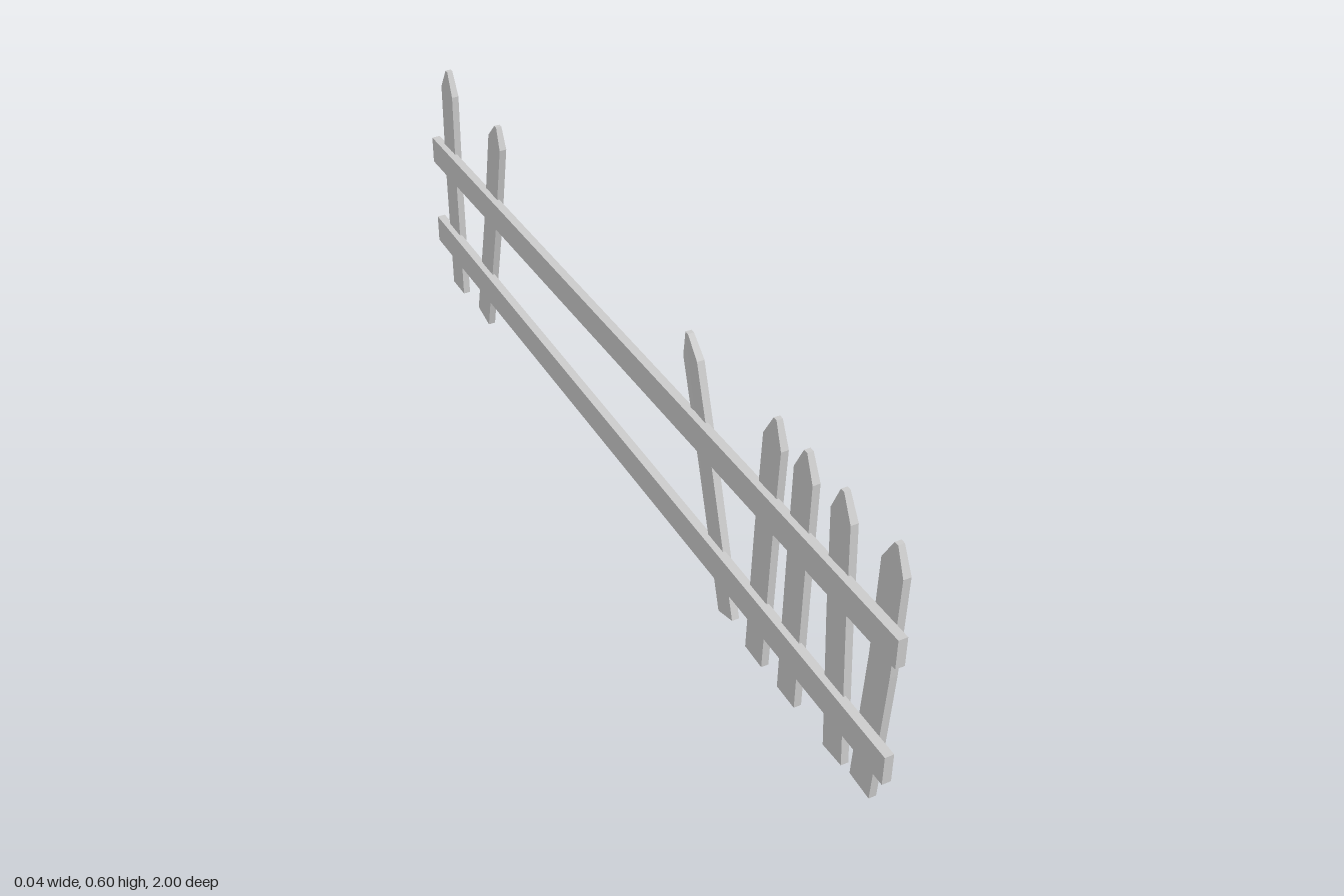
import * as THREE from 'three';

const material = new THREE.MeshStandardMaterial({ color: 0xcccccc, flatShading: true });
const THICK = 0.016;

// Extrudes an outline of [z, y] points along x, from x0 to x0 + depth
function board(name, outline, x0, depth) {
  const shape = new THREE.Shape(outline.map(([z, y]) => new THREE.Vector2(-z, y)));
  const geometry = new THREE.ExtrudeGeometry(shape, { depth, bevelEnabled: false });
  geometry.rotateY(Math.PI / 2).translate(x0, 0, 0);
  const mesh = new THREE.Mesh(geometry, material);
  mesh.name = name;
  return mesh;
}

// z of a picket's centre line at height y
function centreAt(line, y) {
  const i = y < line[1][1] ? 0 : 1;
  const [a, b] = [line[i], line[i + 1]];
  return a[0] + (b[0] - a[0]) * (y - a[1]) / (b[1] - a[1]);
}

// Bent plank with a pointed top: line = foot, bend, shoulder, tip
function picket({ line, width, x }) {
  const plus = [], minus = [];
  for (let i = 0; i < 3; i++) {
    const a = line[Math.max(i - 1, 0)], b = line[Math.min(i + 1, 2)];
    const len = Math.hypot(b[0] - a[0], b[1] - a[1]);
    const nz = (b[1] - a[1]) / len * width / 2, ny = -(b[0] - a[0]) / len * width / 2;
    plus.push([line[i][0] + nz, line[i][1] + ny]);
    minus.push([line[i][0] - nz, line[i][1] - ny]);
  }
  const [tz, ty] = line[3];
  const tip = [[tz + 0.005, ty - 0.002], [tz - 0.005, ty - 0.002]];
  const mesh = board('picket', [...plus, ...tip, ...minus.reverse()], x, THICK);

  // Thin the tip slightly
  const p = mesh.geometry.attributes.position;
  const mid = x + THICK / 2;
  for (let i = 0; i < p.count; i++) {
    if (p.getY(i) > ty - 0.004) p.setX(i, mid + (p.getX(i) - mid) * 0.8);
  }
  mesh.geometry.computeVertexNormals();
  return mesh;
}

export function createModel() {
  const fence = new THREE.Group();
  fence.name = 'brokenPicketFence';

  // Two long rails, the upper one sagging towards the back
  fence.add(board('upperRail', [[1, 0.38], [1, 0.445], [-1, 0.39], [-1, 0.325]], -0.02, 0.019));
  fence.add(board('lowerRail', [[1, 0.103], [1, 0.17], [-1, 0.17], [-1, 0.103]], -0.02, 0.019));

  // Pickets, each a crooked centre line in [z, y]
  const pickets = [
    { line: [[0.911, 0.003], [0.932, 0.32], [0.938, 0.545], [0.94, 0.6]], width: 0.064, x: -0.001 },
    { line: [[0.827, 0.004], [0.803, 0.32], [0.79, 0.545], [0.787, 0.6]], width: 0.062, x: -0.006 },
    { line: [[0.662, 0.003], [0.666, 0.32], [0.67, 0.545], [0.67, 0.6]], width: 0.062, x: -0.006 },
    { line: [[0.541, 0.003], [0.553, 0.32], [0.565, 0.545], [0.568, 0.6]], width: 0.062, x: -0.006 },
    { line: [[0.43, 0.018], [0.335, 0.32], [0.264, 0.535], [0.246, 0.584]], width: 0.056, x: -0.006 },
    { line: [[-0.765, 0.012], [-0.692, 0.32], [-0.648, 0.545], [-0.641, 0.59]], width: 0.062, x: -0.006 },
    { line: [[-0.921, 0.003], [-0.926, 0.3], [-0.921, 0.545], [-0.919, 0.6]], width: 0.064, x: -0.006 },
  ];

  // Nail heads where each picket crosses the rails
  const nailGeometry = new THREE.CylinderGeometry(0.004, 0.007, 0.006, 6).rotateZ(-Math.PI / 2);
  for (const spec of pickets) {
    fence.add(picket(spec));
    const upper = 0.385 + 0.0275 * spec.line[0][0];
    for (const y of [0.143, upper]) {
      const nail = new THREE.Mesh(nailGeometry, material);
      nail.name = 'nail';
      nail.position.set(spec.x + THICK, y, centreAt(spec.line, y));
      fence.add(nail);
    }
  }
  return fence;
}
